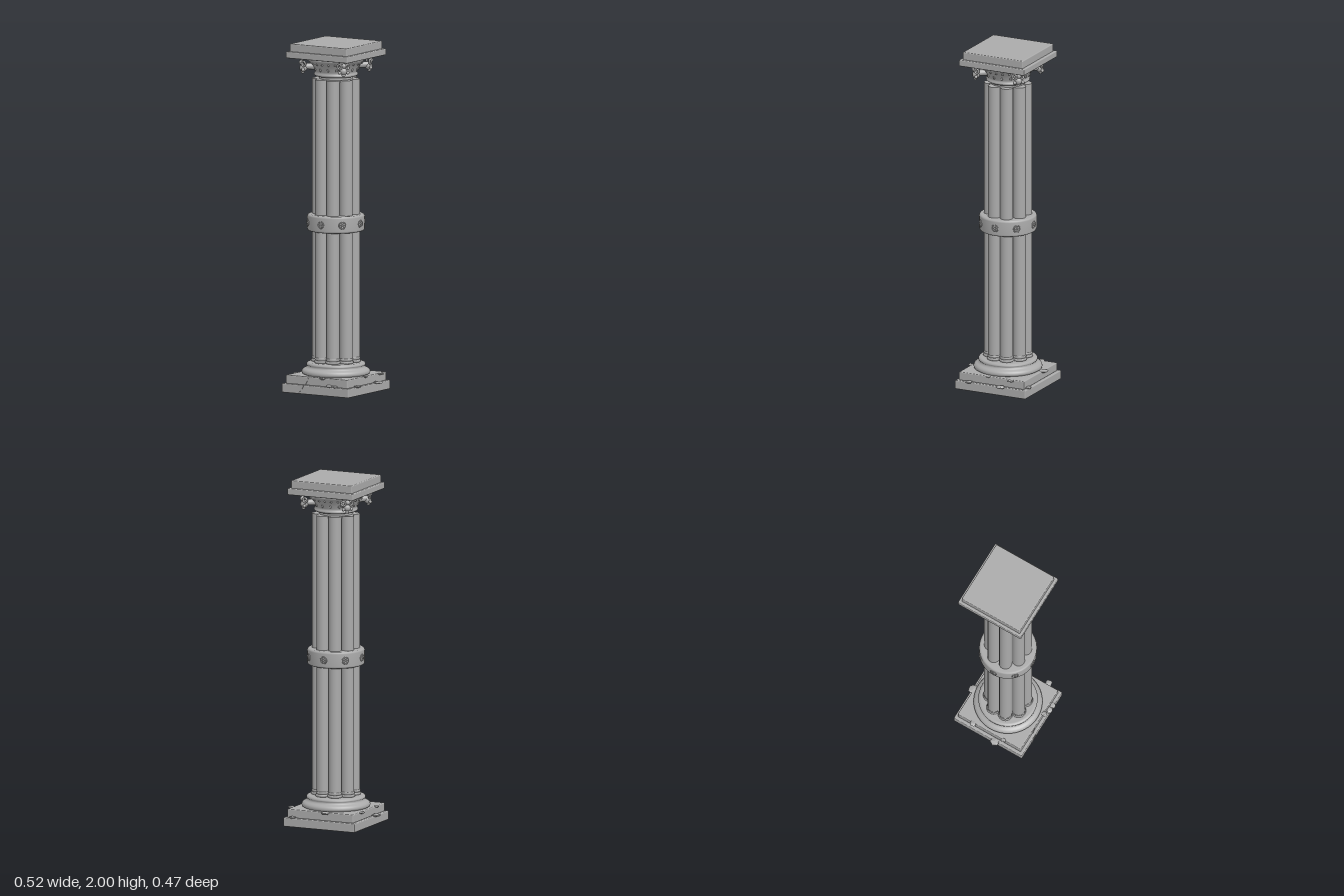
import * as THREE from 'three';
import { RoundedBoxGeometry } from 'three/addons/geometries/RoundedBoxGeometry.js';

export function createModel() {
  const root = new THREE.Group();
  root.name = 'column';
  const body = new THREE.Group();
  body.name = 'masonry';
  body.position.set(-0.005, 0, -0.005);
  root.add(body);

  const stone = new THREE.MeshStandardMaterial({ color: 0xaaaaaa });
  stone.name = 'stone';

  function add(name, geometry, x = 0, y = 0, z = 0, parent = body) {
    const mesh = new THREE.Mesh(geometry, stone);
    mesh.name = name;
    mesh.position.set(x, y, z);
    parent.add(mesh);
    return mesh;
  }
  const slab = (name, half, y0, y1) =>
    add(name, new RoundedBoxGeometry(half * 2, y1 - y0, half * 2, 2, 0.006), 0, (y0 + y1) / 2, 0);
  const turned = (name, points) =>
    add(name, new THREE.LatheGeometry(points.map(([r, y]) => new THREE.Vector2(r, y)), 48));
  const around = (count, phase, fn) => {
    for (let i = 0; i < count; i++) fn(phase + (i * Math.PI * 2) / count);
  };

  // Stepped square plinth and abacus
  slab('plinth', 0.225, 0, 0.052);
  slab('upperPlinth', 0.208, 0.05, 0.1);
  slab('abacus', 0.208, 1.918, 1.956);
  slab('topSlab', 0.192, 1.95, 2);

  // Round moulded base
  turned('roundBase', [
    [0, 0.098], [0.183, 0.098], [0.193, 0.104], [0.196, 0.113], [0.192, 0.124], [0.182, 0.131],
    [0.175, 0.134], [0.167, 0.14], [0.163, 0.148], [0.168, 0.151], [0.169, 0.158],
    [0.163, 0.165], [0.152, 0.168], [0, 0.168],
  ]);

  // Shaft: eight attached colonnettes with ringed feet around a core
  add('core', new THREE.CylinderGeometry(0.09, 0.09, 1.63, 32), 0, 0.98, 0);
  around(8, Math.PI / 8, (a) => {
    const x = Math.sin(a) * 0.1, z = Math.cos(a) * 0.1;
    add('colonnette', new THREE.CylinderGeometry(0.037, 0.037, 1.63, 24), x, 0.98, z);
    for (const [y, r] of [[0.176, 0.034], [0.192, 0.031]]) {
      const ring = add('colonnetteFoot', new THREE.TorusGeometry(r, 0.009, 8, 24), x, y, z);
      ring.rotation.x = Math.PI / 2;
    }
  });

  // Middle band with rosettes
  turned('band', [
    [0.08, 0.922], [0.152, 0.922], [0.16, 0.926], [0.164, 0.934], [0.164, 1.006],
    [0.16, 1.014], [0.152, 1.018], [0.08, 1.018],
  ]);
  around(8, 0, (a) => {
    const rosette = new THREE.Group();
    rosette.name = 'rosette';
    rosette.position.set(Math.sin(a) * 0.164, 0.97, Math.cos(a) * 0.164);
    rosette.rotation.y = a;
    body.add(rosette);
    add('rosetteRim', new THREE.TorusGeometry(0.019, 0.003, 6, 20), 0, 0, 0, rosette);
    add('rosetteHeart', new THREE.SphereGeometry(0.006, 10, 8), 0, 0, 0.002, rosette);
    around(6, 0, (p) => {
      const petal = add('petal', new THREE.SphereGeometry(0.007, 8, 6),
        Math.sin(p) * 0.011, Math.cos(p) * 0.011, 0, rosette);
      petal.scale.z = 0.6;
    });
  });

  // Neck and flared capital bell
  turned('neck', [[0.098, 1.78], [0.098, 1.825]]);
  turned('bell', [
    [0.09, 1.811], [0.118, 1.811], [0.125, 1.817], [0.125, 1.825], [0.118, 1.831], [0.122, 1.84],
    [0.128, 1.855], [0.137, 1.872], [0.15, 1.89], [0.158, 1.896], [0.166, 1.903], [0.168, 1.912],
    [0.162, 1.92], [0, 1.92],
  ]);
  around(24, 0, (a) => {
    add('upperStud', new THREE.SphereGeometry(0.006, 8, 6), Math.sin(a) * 0.147, 1.885, Math.cos(a) * 0.147);
  });
  around(16, Math.PI / 16, (a) => {
    const leaf = add('lowerStud', new THREE.SphereGeometry(0.006, 8, 6),
      Math.sin(a) * 0.128, 1.853, Math.cos(a) * 0.128);
    leaf.scale.y = 1.6;
  });

  // Clustered bud ornament under each abacus corner
  around(4, Math.PI / 4, (a) => {
    const bud = new THREE.Group();
    bud.name = 'cornerBud';
    bud.position.set(Math.sin(a) * 0.19, 1.868, Math.cos(a) * 0.19);
    bud.rotation.y = a;
    body.add(bud);
    const stem = add('budStem', new THREE.CylinderGeometry(0.016, 0.02, 0.08, 12), 0, 0, -0.034, bud);
    stem.rotation.x = Math.PI / 2;
    add('budBall', new THREE.SphereGeometry(0.022, 16, 12), 0, -0.008, 0, bud);
    add('budTip', new THREE.SphereGeometry(0.011, 12, 8), 0, -0.03, 0.004, bud);
    add('budCrown', new THREE.SphereGeometry(0.014, 12, 8), 0, 0.024, 0.012, bud);
    for (const side of [-1, 1]) {
      const curl = add('budCurl', new THREE.TorusGeometry(0.013, 0.006, 8, 16), side * 0.023, 0.018, 0.004, bud);
      curl.rotation.y = side * 0.6;
      add('budPearl', new THREE.SphereGeometry(0.01, 10, 8), side * 0.024, -0.016, 0.008, bud);
    }
  });

  // Broken chips lying on the plinth steps: x, z, radius, height
  const chips = [
    [-0.235, 0.045, 0.025, 0.056], [-0.218, -0.11, 0.018, 0.097], [-0.215, 0.09, 0.015, 0.097],
    [0.232, -0.08, 0.025, 0.056], [0.215, -0.135, 0.018, 0.097], [0.224, 0.127, 0.02, 0.056],
    [0.165, -0.222, 0.019, 0.056], [-0.04, -0.213, 0.026, 0.097], [0.04, 0.207, 0.017, 0.097],
    [0.086, 0.208, 0.022, 0.056], [0.121, 0.215, 0.019, 0.056], [0.204, 0.015, 0.014, 0.097],
  ];
  chips.forEach(([x, z, r, y], i) => {
    const geometry = new THREE.IcosahedronGeometry(r, 1);
    const p = geometry.attributes.position;
    for (let k = 0; k < p.count; k++) {
      const u = p.getX(k) / r, v = p.getY(k) / r, w = p.getZ(k) / r;
      const s = 1 + 0.14 * Math.sin(5 * u + i) * Math.cos(4 * w + 2 * i) + 0.08 * Math.sin(6 * v + i);
      p.setXYZ(k, p.getX(k) * s, p.getY(k) * s * 0.34, p.getZ(k) * s);
    }
    const faceted = geometry.index ? geometry.toNonIndexed() : geometry;
    faceted.computeVertexNormals();
    add('chip', faceted, x, y, z, root).rotation.y = i * 1.3;
  });

  // Thin crack line running up the front of both steps
  const crack = [[-0.115, 0.004], [-0.1, 0.022], [-0.092, 0.03], [-0.08, 0.05], [-0.075, 0.062], [-0.06, 0.09]];
  for (let i = 0; i < crack.length - 1; i++) {
    const [x0, y0] = crack[i], [x1, y1] = crack[i + 1];
    const strip = add('crack', new THREE.BoxGeometry(Math.hypot(x1 - x0, y1 - y0) + 0.002, 0.003, 0.004),
      (x0 + x1) / 2, (y0 + y1) / 2, i < 3 ? 0.2205 : 0.2035, root);
    strip.rotation.z = Math.atan2(y1 - y0, x1 - x0);
  }

  return root;
}
